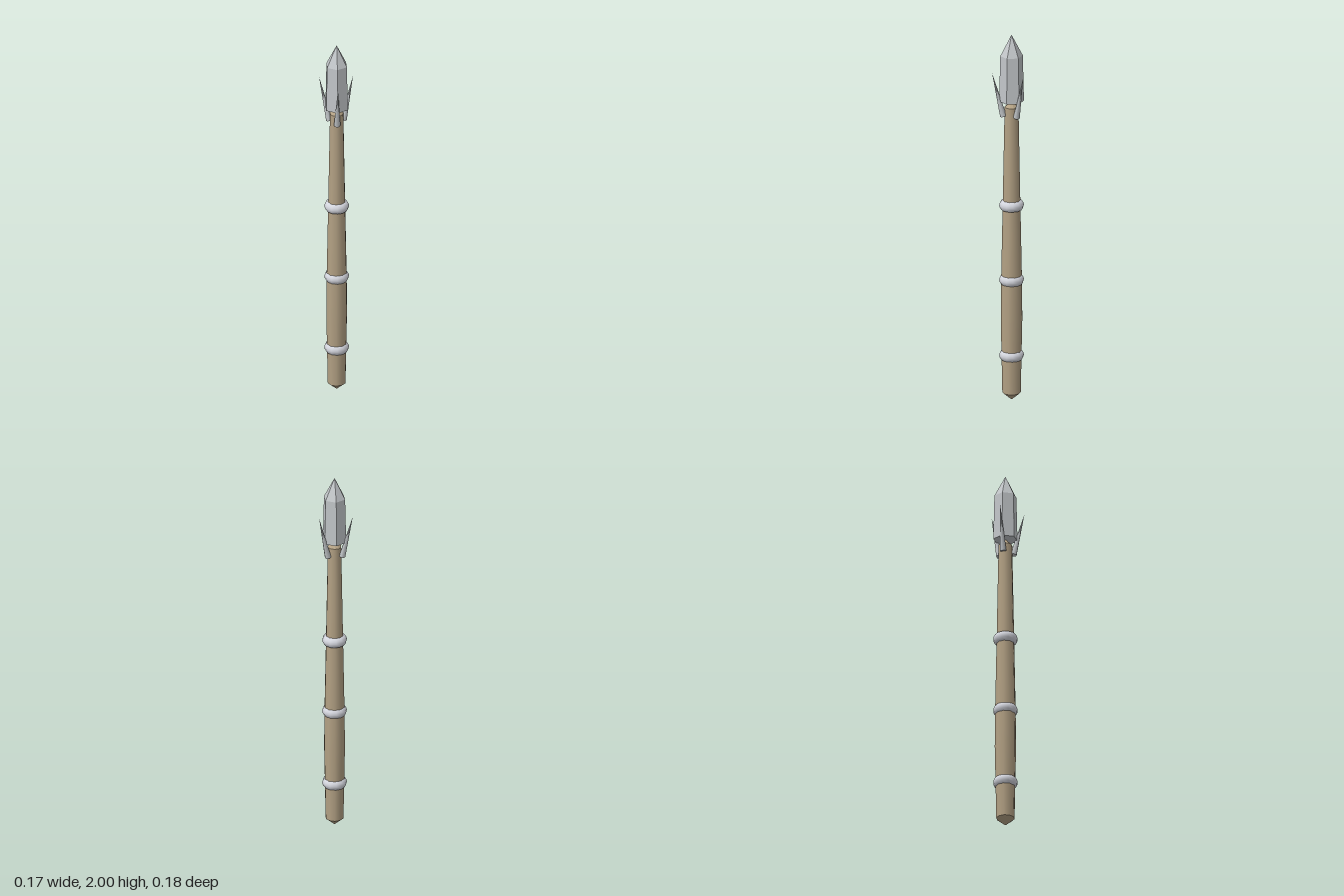
import * as THREE from 'three';

const wood = new THREE.MeshStandardMaterial({ color: 0xb3a184 });
wood.name = 'tan wood';
const steel = new THREE.MeshStandardMaterial({ color: 0xc2c6c9 });
steel.name = 'grey steel';
const band = new THREE.MeshStandardMaterial({ color: 0xd4d6de });
band.name = 'pale band';

function add(parent, name, geometry, material, y = 0) {
  const mesh = new THREE.Mesh(geometry, material);
  mesh.name = name;
  mesh.position.y = y;
  parent.add(mesh);
  return mesh;
}

const lathe = (points, sides) =>
  new THREE.LatheGeometry(points.map(([r, y]) => new THREE.Vector2(r, y)), sides);

// Flat-faced version of a geometry
function faceted(geometry) {
  const flat = geometry.toNonIndexed();
  flat.computeVertexNormals();
  return flat;
}

export function createModel() {
  const model = new THREE.Group();
  model.name = 'spear';
  const body = new THREE.Group();
  body.name = 'spearBody';
  body.position.x = -0.019;
  model.add(body);

  // Slightly swollen shaft with pointed ends
  add(body, 'shaft', lathe([
    [0.048, 0.042], [0.052, 0.25], [0.056, 0.45], [0.054, 0.66],
    [0.046, 1.07], [0.037, 1.55], [0.036, 1.605],
  ], 10), wood);
  add(body, 'shaftButt', faceted(lathe([[0, 0.003], [0.048, 0.042]], 10)), wood);
  add(body, 'shaftTop', faceted(lathe([[0.036, 1.605], [0, 1.64]], 10)), wood);

  // Rounded bands round the shaft
  const ring = lathe([
    [0.044, -0.027], [0.055, -0.023], [0.0615, -0.012], [0.065, 0],
    [0.0615, 0.012], [0.055, 0.023], [0.044, 0.027],
  ], 12);
  for (const y of [0.247, 0.66, 1.068]) add(body, 'shaftBand', ring, band, y);

  // Six-sided head, corners on the x axis
  add(body, 'spearHead', faceted(lathe([
    [0, 1.637], [0.065, 1.637], [0.059, 1.885], [0, 2],
  ], 6).rotateY(Math.PI / 6)), steel);

  // Three prongs leaning outwards below the head
  const base = new THREE.Vector3(0.043, 1.556, 0);
  const tip = new THREE.Vector3(0.102, 1.795, 0);
  const lean = tip.clone().sub(base);
  const prong = new THREE.ConeGeometry(0.017, lean.length(), 8);
  prong.rotateZ(-Math.atan2(lean.x, lean.y));
  prong.translate((base.x + tip.x) / 2, (base.y + tip.y) / 2, 0);
  for (let i = 0; i < 3; i++) {
    add(body, 'prong', prong, steel).rotation.y = i * Math.PI * 2 / 3;
  }
  return model;
}
